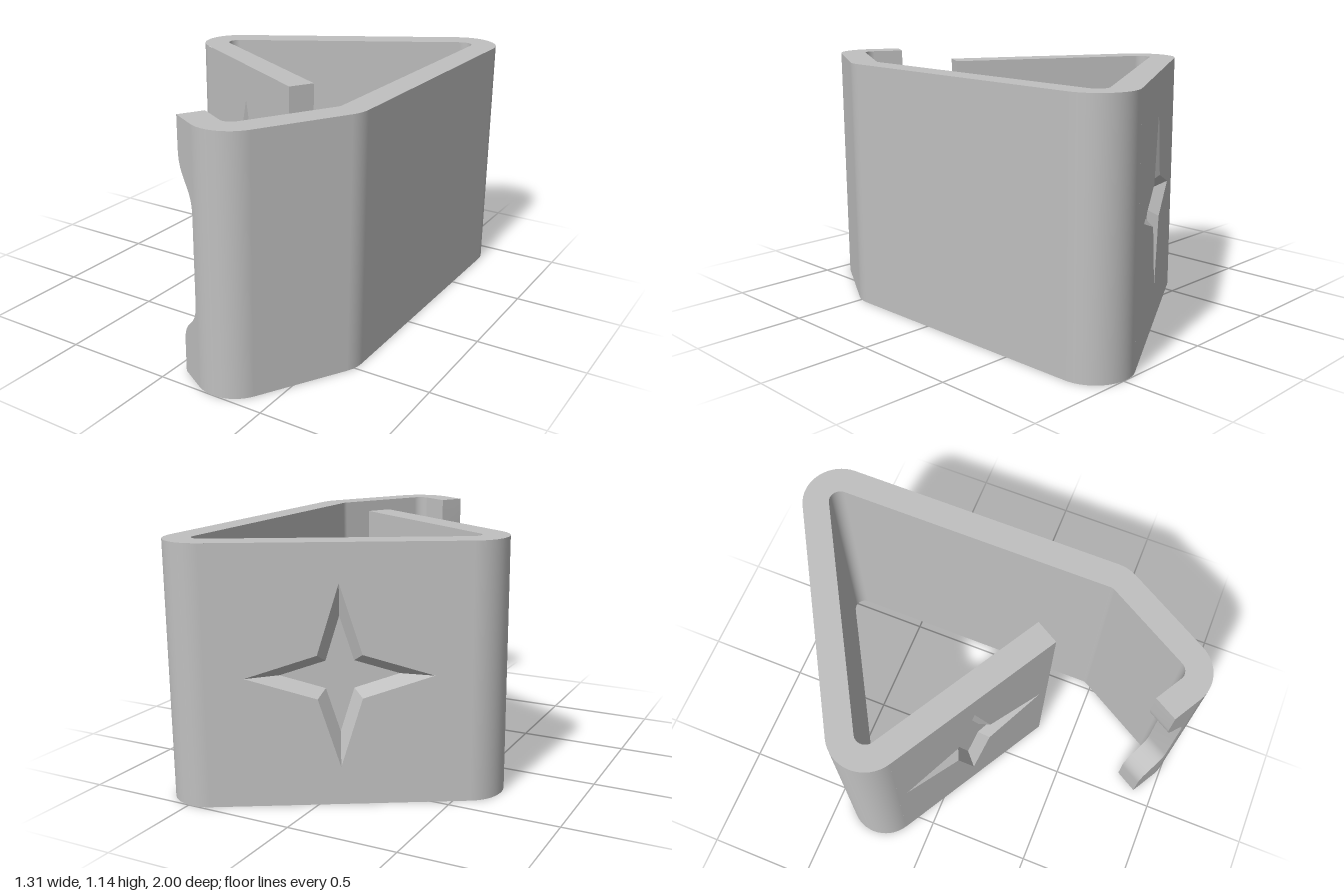
import * as THREE from 'three';
import { toCreasedNormals } from 'three/addons/utils/BufferGeometryUtils.js';

const H = 1.14;            // height of the strip
const R = 0.17, r = 0.05;  // outer and inner bend radii
const rad = THREE.MathUtils.degToRad;

// Bend centres (x, z) with start and end angles of the outward normal
const bends = [
  { c: [0.285, 0.175], from: 120, to: 120 },   // free end of the front arm
  { c: [-0.485, -0.27], from: 120, to: 240 },  // left corner
  { c: [0.485, -0.83], from: 240, to: 360 },   // rear right corner
  { c: [0.485, 0.45], from: 360, to: 390 },    // shallow bend
  { c: [0.265, 0.83], from: 390, to: 480 },    // front hook
];

function bufferFrom(positions, normals) {
  const g = new THREE.BufferGeometry();
  g.setAttribute('position', new THREE.Float32BufferAttribute(positions, 3));
  if (normals) g.setAttribute('normal', new THREE.Float32BufferAttribute(normals, 3));
  else g.computeVertexNormals();
  return g;
}

// Bent strip: outer and inner skins, top and bottom edges, free end
function stripGeometry() {
  const stations = [];
  bends.forEach(({ c, from, to }, bend) => {
    const steps = Math.round((to - from) / 7.5);
    for (let i = 0; i <= steps; i++) {
      const a = rad(from + (steps ? (to - from) * i / steps : 0));
      const n = [Math.cos(a), Math.sin(a)];
      const at = (d, y) => [c[0] + n[0] * d, y, c[1] + n[1] * d];
      stations.push({ bend, at, out: [n[0], 0, n[1]], inn: [-n[0], 0, -n[1]] });
    }
  });
  const pos = [], nor = [];
  const quad = (p, n) => [0, 1, 2, 0, 2, 3].forEach((k) => {
    pos.push(...p[k]);
    nor.push(...n[k]);
  });
  const same = (n) => [n, n, n, n];
  for (let i = 1; i < stations.length; i++) {
    const p = stations[i - 1], q = stations[i];
    // the two recessed panels get their own outer faces
    const recessed = p.bend !== q.bend && q.bend <= 2;
    if (!recessed) {
      quad([q.at(R, 0), p.at(R, 0), p.at(R, H), q.at(R, H)], [q.out, p.out, p.out, q.out]);
    }
    quad([p.at(r, 0), q.at(r, 0), q.at(r, H), p.at(r, H)], [p.inn, q.inn, q.inn, p.inn]);
    quad([p.at(R, H), p.at(r, H), q.at(r, H), q.at(R, H)], same([0, 1, 0]));
    quad([q.at(R, 0), q.at(r, 0), p.at(r, 0), p.at(R, 0)], same([0, -1, 0]));
  }
  const e = stations[0];
  quad([e.at(R, 0), e.at(r, 0), e.at(r, H), e.at(R, H)], same([-e.out[2] * -1, 0, -e.out[0]]));
  return bufferFrom(pos, nor);
}

// Four-pointed star outline, counter-clockwise
function starPoints(s) {
  const pts = [];
  for (let i = 0; i < 8; i++) {
    const d = (i % 2 ? 0.095 * Math.SQRT2 : 0.4) * s;
    const a = i * Math.PI / 4;
    pts.push(new THREE.Vector2(Math.cos(a) * d, H / 2 + Math.sin(a) * d));
  }
  return pts;
}

// Places a group on the outer surface, local +z pointing outward
function onSurface(group, x, z, angle) {
  const a = rad(angle);
  group.position.set(x + Math.cos(a) * R, 0, z + Math.sin(a) * R);
  group.rotation.y = Math.PI / 2 - a;
  return group;
}

// Outer face with a shallow star recess that narrows towards its floor
function recessedPanel(name, from, to, angle, material) {
  const depth = 0.048, taper = 0.635;
  const w = Math.hypot(to[0] - from[0], to[1] - from[1]) / 2;
  const rim = starPoints(1), base = starPoints(taper);
  const face = new THREE.Shape([
    new THREE.Vector2(-w, 0), new THREE.Vector2(w, 0),
    new THREE.Vector2(w, H), new THREE.Vector2(-w, H),
  ]);
  face.holes.push(new THREE.Path(rim));

  const walls = [];
  rim.forEach((p, i) => {
    const j = (i + 1) % rim.length;
    const c = [
      [p.x, p.y, 0], [rim[j].x, rim[j].y, 0],
      [base[j].x, base[j].y, -depth], [base[i].x, base[i].y, -depth],
    ];
    [0, 1, 2, 0, 2, 3].forEach((k) => walls.push(...c[k]));
  });

  const group = new THREE.Group();
  group.name = name;
  const add = (part, geometry) => {
    const m = new THREE.Mesh(geometry, material);
    m.name = part;
    group.add(m);
  };
  add('panelFace', new THREE.ShapeGeometry(face));
  add('starWalls', bufferFrom(walls));
  add('starFloor', new THREE.ShapeGeometry(new THREE.Shape(base)).translate(0, 0, -depth));
  return onSurface(group, (from[0] + to[0]) / 2, (from[1] + to[1]) / 2, angle);
}

// Hook lip with a curved cut-out along its free edge
function lipGeometry() {
  const end = -0.143, notch = -0.011;
  const s = new THREE.Shape();
  s.moveTo(0, 0);
  s.lineTo(0, H);
  s.lineTo(end, H);
  s.lineTo(end, 1.0);
  s.bezierCurveTo(end, 0.87, notch, 0.89, notch, 0.76);
  s.lineTo(notch, H - 0.76);
  s.bezierCurveTo(notch, H - 0.89, end, H - 0.87, end, H - 1.0);
  s.lineTo(end, 0);
  const g = new THREE.ExtrudeGeometry(s, { depth: R - r, bevelEnabled: false, curveSegments: 16 });
  return toCreasedNormals(g.translate(0, 0, r - R), rad(30));
}

export function createModel() {
  const grey = new THREE.MeshStandardMaterial({ color: 0xc0c0c0 });
  grey.name = 'plain grey';

  const model = new THREE.Group();
  model.name = 'bentClip';

  const strip = new THREE.Mesh(stripGeometry(), grey);
  strip.name = 'bentStrip';
  model.add(strip);

  model.add(recessedPanel('frontArmPanel', bends[0].c, bends[1].c, 120, grey));
  model.add(recessedPanel('rearPanel', bends[1].c, bends[2].c, 240, grey));

  const lip = new THREE.Mesh(lipGeometry(), grey);
  lip.name = 'hookLip';
  model.add(onSurface(lip, ...bends[4].c, 480));
  return model;
}
